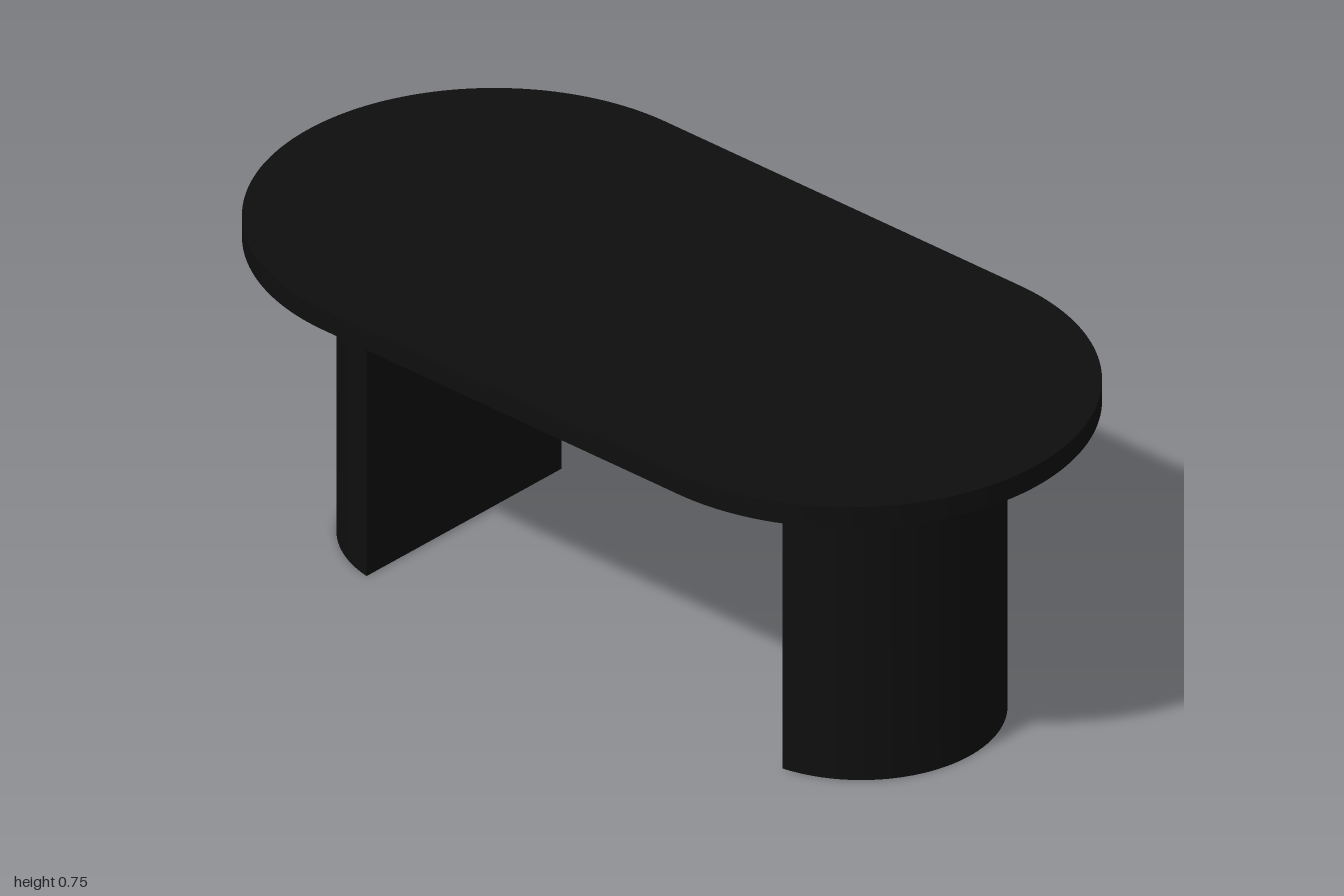
import * as THREE from 'three';
import { toCreasedNormals } from 'three/addons/utils/BufferGeometryUtils.js';

// Extrude a plan outline upward from y = base, smooth round the curves
function slab(shape, base, height) {
  const geo = new THREE.ExtrudeGeometry(shape, { depth: height, bevelEnabled: false, curveSegments: 48 });
  geo.rotateX(-Math.PI / 2);
  geo.translate(0, base, 0);
  return toCreasedNormals(geo, Math.PI / 6);
}

export function createModel() {
  const model = new THREE.Group();
  model.name = 'table';
  const black = new THREE.MeshStandardMaterial({ name: 'black', color: 0x0e0e0e });

  // Stadium-shaped top
  const R = 0.512, c = 1 - R;
  const topShape = new THREE.Shape();
  topShape.absarc(0, c, R, 0, Math.PI);
  topShape.absarc(0, -c, R, Math.PI, Math.PI * 2);
  topShape.closePath();
  const top = new THREE.Mesh(slab(topShape, 0.705, 0.049), black);
  top.name = 'tableTop';
  model.add(top);

  // Solid D-shaped legs: flat face inward, round face outward
  const half = 0.292, depth = 0.245, inner = 0.572;
  const r = (half * half + depth * depth) / (2 * depth);
  const a = Math.asin((r - depth) / r);
  const legShape = new THREE.Shape();
  legShape.absarc(0, inner + depth - r, r, a, Math.PI - a);
  legShape.closePath();
  const legGeo = slab(legShape, 0, 0.705);
  for (const [name, turn] of [['backLeg', 0], ['frontLeg', Math.PI]]) {
    const leg = new THREE.Mesh(legGeo, black);
    leg.name = name;
    leg.rotation.y = turn;
    model.add(leg);
  }
  return model;
}
